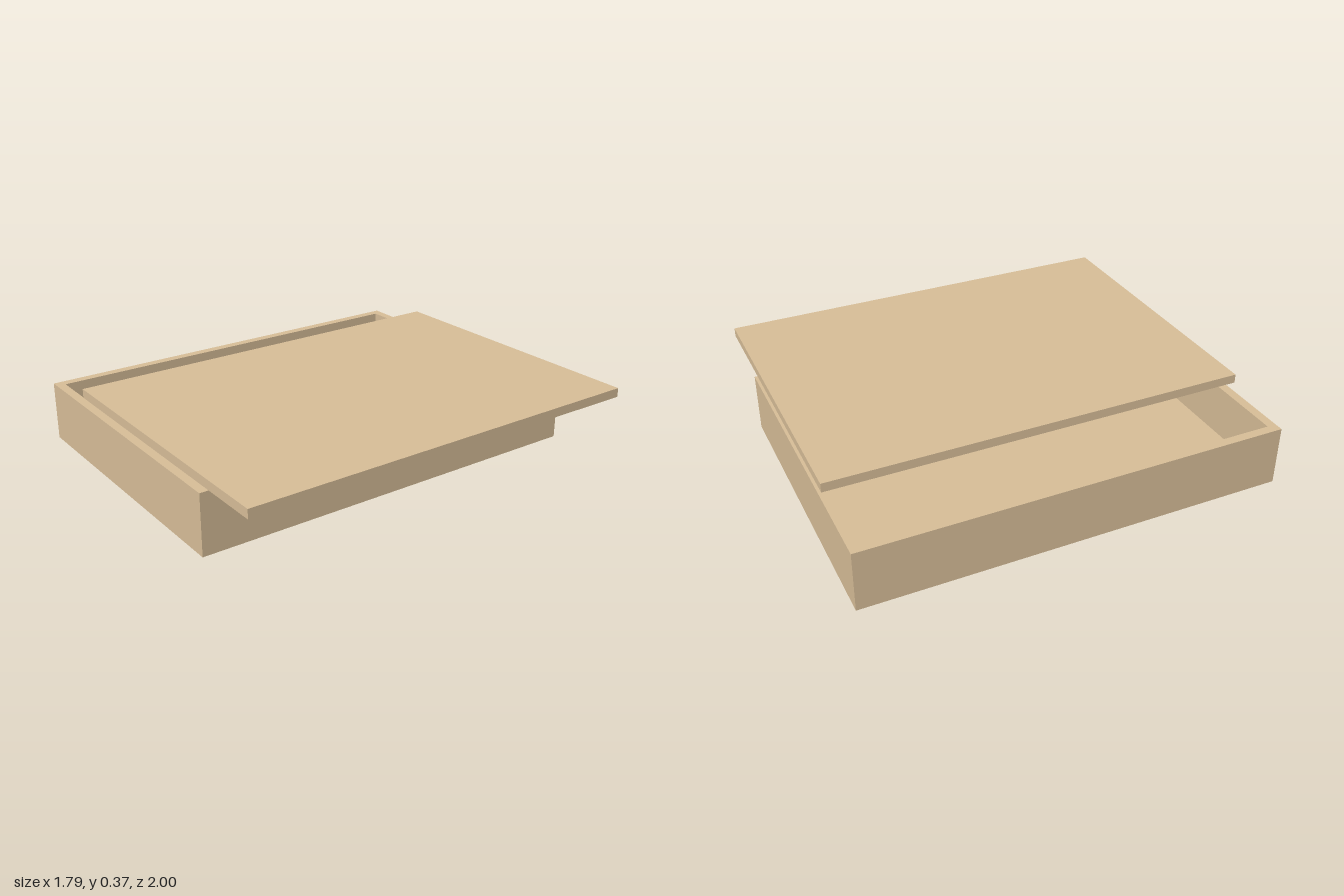
import * as THREE from 'three';

const WIDTH = 1.429, HEIGHT = 0.286, LENGTH = 2, BOARD = 0.043;
const SHIFT = 0.179; // box sits to -x, lid is slid to +x

export function createModel() {
  const model = new THREE.Group();
  model.name = 'boxWithSlidLid';
  const wood = new THREE.MeshStandardMaterial({ color: 0xd9bf99 });

  function addMesh(parent, name, geometry, x, y, z) {
    const mesh = new THREE.Mesh(geometry, wood);
    mesh.name = name;
    mesh.position.set(x, y, z);
    parent.add(mesh);
  }

  // Open box: two full-length side walls, two end walls between them, inset floor
  const tray = new THREE.Group();
  tray.name = 'tray';
  tray.position.x = -SHIFT;
  model.add(tray);
  const innerWidth = WIDTH - 2 * BOARD;
  const innerLength = LENGTH - 2 * BOARD;
  for (const s of [-1, 1]) {
    addMesh(tray, s > 0 ? 'leftWall' : 'rightWall',
      new THREE.BoxGeometry(BOARD, HEIGHT, LENGTH), s * (WIDTH - BOARD) / 2, HEIGHT / 2, 0);
    addMesh(tray, s > 0 ? 'frontWall' : 'backWall',
      new THREE.BoxGeometry(innerWidth, HEIGHT, BOARD), 0, HEIGHT / 2, s * (LENGTH - BOARD) / 2);
  }
  addMesh(tray, 'floor', new THREE.BoxGeometry(innerWidth, BOARD, innerLength), 0, BOARD / 2, 0);

  // Lid hovering above the box, with a small round peg underneath
  const lid = new THREE.Group();
  lid.name = 'lid';
  lid.position.set(SHIFT, 0.33, 0);
  model.add(lid);
  addMesh(lid, 'lidPanel', new THREE.BoxGeometry(WIDTH, BOARD, LENGTH), 0, BOARD / 2, 0);
  addMesh(lid, 'lidPeg', new THREE.CylinderGeometry(0.028, 0.026, 0.012, 24), 0.595, -0.006, 0);

  return model;
}
